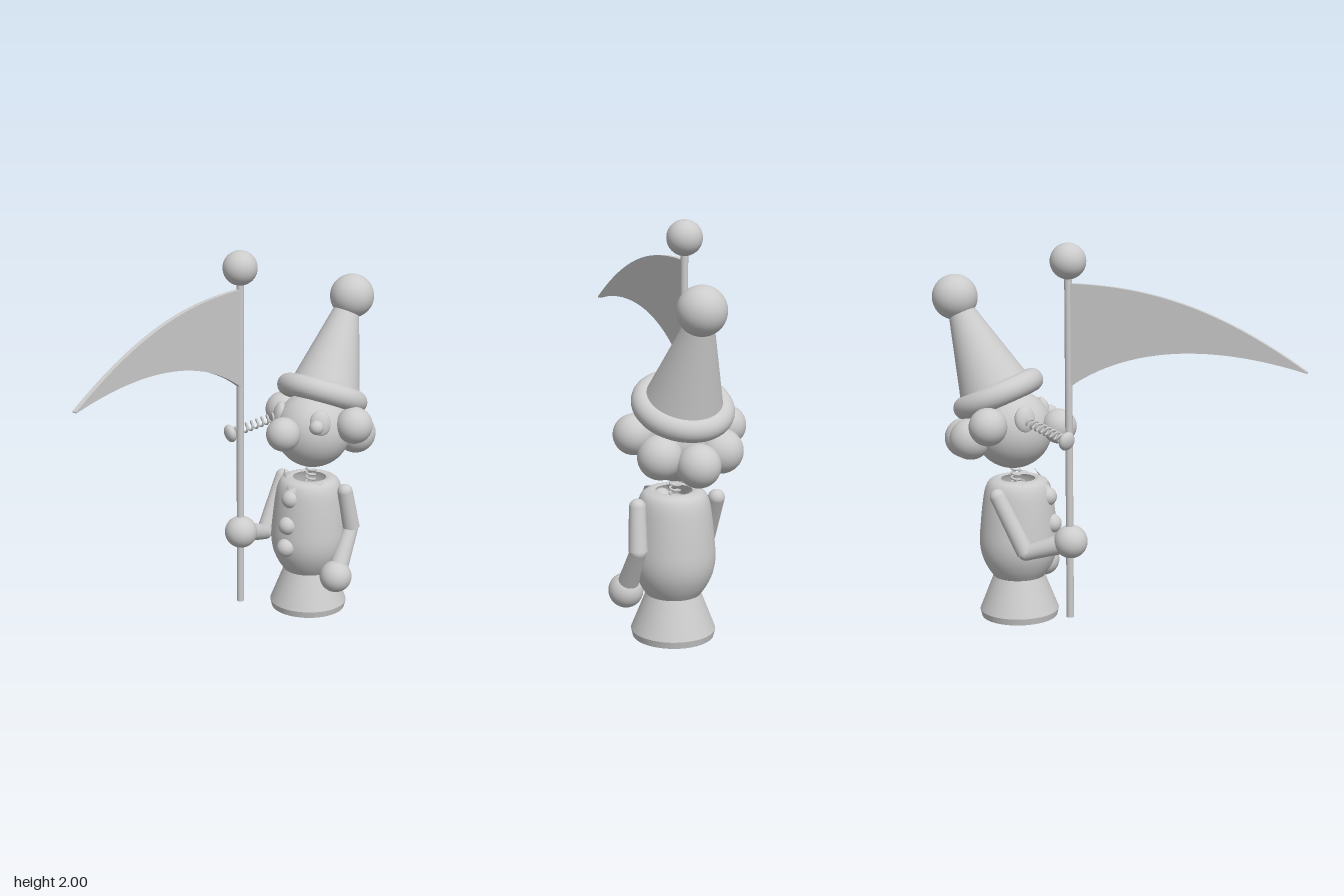
import * as THREE from 'three';

const V = (x, y, z) => new THREE.Vector3(x, y, z);
const UP = V(0, 1, 0);

export function createModel() {
  const model = new THREE.Group();
  const mat = new THREE.MeshStandardMaterial({ color: 0xcccccc });
  const thin = new THREE.MeshStandardMaterial({ color: 0xcccccc, side: THREE.DoubleSide });

  const add = (name, geo, pos, parent = model, m = mat) => {
    const mesh = new THREE.Mesh(geo, m);
    mesh.name = name;
    if (pos) mesh.position.copy(pos);
    parent.add(mesh);
    return mesh;
  };
  const ball = (name, r, pos, parent) => add(name, new THREE.SphereGeometry(r, 40, 28), pos, parent);
  // Cylinder running from a to b
  const rod = (name, a, b, ra, rb) => {
    const mesh = add(name, new THREE.CylinderGeometry(rb, ra, a.distanceTo(b), 32), a.clone().lerp(b, 0.5));
    mesh.quaternion.setFromUnitVectors(UP, b.clone().sub(a).normalize());
    return mesh;
  };
  // Coil of wire running from a to b
  const spring = (name, a, b, r, wire, turns) => {
    const len = a.distanceTo(b), pts = [];
    for (let i = 0; i <= turns * 12; i++) {
      const t = (i / 12) * Math.PI * 2;
      pts.push(V(r * Math.cos(t), (len * i) / (turns * 12), r * Math.sin(t)));
    }
    const geo = new THREE.TubeGeometry(new THREE.CatmullRomCurve3(pts), turns * 20, wire, 8);
    const mesh = add(name, geo, a);
    mesh.quaternion.setFromUnitVectors(UP, b.clone().sub(a).normalize());
  };
  const lathe = (name, profile, pos) =>
    add(name, new THREE.LatheGeometry(profile.map(p => new THREE.Vector2(...p)), 56), pos, model, thin);

  // Flared foot
  const axis = V(0, 0, -0.546);
  add('baseRim', new THREE.CylinderGeometry(0.208, 0.2, 0.035, 56), V(0, 0.0175, -0.546));
  add('base', new THREE.CylinderGeometry(0.135, 0.208, 0.185, 56), V(0, 0.1275, -0.546));

  // Rounded torso, open at the neck
  const torso = new THREE.SplineCurve([
    [0.135, 0.22], [0.168, 0.27], [0.195, 0.335], [0.205, 0.41], [0.198, 0.51],
    [0.187, 0.61], [0.174, 0.685], [0.152, 0.73], [0.115, 0.746], [0.09, 0.742],
  ].map(p => new THREE.Vector2(...p))).getPoints(36).map(p => [p.x, p.y]);
  lathe('torso', torso, axis);
  [[0.655, -0.385], [0.512, -0.36], [0.39, -0.345]].forEach(([y, z]) => ball('button', 0.05, V(0, y, z)));
  spring('neckSpring', V(0, 0.6, -0.557), V(0, 0.83, -0.557), 0.024, 0.006, 9);

  // Bow tie: one flat triangular wing on each side
  for (const s of [-1, 1]) {
    const geo = new THREE.BufferGeometry();
    geo.setAttribute('position', new THREE.Float32BufferAttribute(
      [0, 0.715, -0.365, s * 0.125, 0.66, -0.415, s * 0.138, 0.765, -0.505], 3));
    geo.computeVertexNormals();
    add('bowTieWing', geo, null, model, thin);
  }

  // Head and nose
  const headPos = V(0, 1.005, -0.57);
  ball('head', 0.205, headPos);
  ball('nose', 0.09, V(0, 1.034, -0.316));

  // Flattened eyes facing outwards
  for (const s of [-1, 1]) {
    const eye = ball('eye', 0.07, V(s * 0.135, 1.085, -0.455));
    eye.scale.set(0.8, 1, 0.5);
    eye.lookAt(V(s * 0.6, 1.2, 0.05));
  }
  ball('leftPupil', 0.038, V(0.142, 1.075, -0.415));

  // Right pupil popped out on a spring
  const eyeStart = V(-0.14, 1.08, -0.44), eyeEnd = V(-0.257, 1.018, -0.19);
  spring('eyeSpring', eyeStart, eyeEnd, 0.022, 0.006, 9);
  const pupil = ball('rightPupil', 0.048, eyeEnd);
  pupil.scale.z = 0.6;
  pupil.lookAt(eyeEnd.clone().multiplyScalar(2).sub(eyeStart));

  // Ring of hair puffs
  for (const s of [-1, 1]) {
    ball('hairSide', 0.098, V(s * 0.238, 1.06, -0.616));
    ball('hairMid', 0.108, V(s * 0.155, 0.973, -0.745));
  }
  ball('hairBack', 0.105, V(0, 0.94, -0.84));

  // Leaning cone hat with rolled brim and pompon
  const hat = new THREE.Group();
  hat.name = 'hat';
  hat.position.set(0, 1.185, -0.648);
  hat.rotation.x = -0.42;
  model.add(hat);
  add('brim', new THREE.TorusGeometry(0.188, 0.06, 24, 56).rotateX(Math.PI / 2), null, hat);
  add('hatCone', new THREE.CylinderGeometry(0.06, 0.198, 0.5, 48), V(0.005, 0.25, -0.01), hat);
  ball('pompon', 0.118, V(0.012, 0.548, -0.014), hat);

  // Arms: shoulder, elbow, hand
  const arm = (side, shoulder, elbow, hand) => {
    ball(side + 'Shoulder', 0.041, shoulder);
    rod(side + 'UpperArm', shoulder, elbow, 0.041, 0.047);
    ball(side + 'Elbow', 0.04, elbow);
    rod(side + 'Forearm', elbow, elbow.clone().lerp(hand, 0.8), 0.04, 0.052);
    ball(side + 'Hand', 0.086, hand);
  };
  arm('left', V(0.207, 0.69, -0.59), V(0.22, 0.48, -0.632), V(0.228, 0.24, -0.49));
  arm('right', V(-0.21, 0.69, -0.58), V(-0.213, 0.405, -0.43), V(-0.188, 0.48, -0.195));

  // Flag pole with finial
  rod('flagPole', V(-0.195, 0.08, -0.198), V(-0.195, 1.86, -0.198), 0.019, 0.019);
  ball('poleFinial', 0.09, V(-0.195, 1.91, -0.198));

  // Curved pennant, drawn in the z-y plane
  const pennant = new THREE.Shape();
  pennant.moveTo(-0.195, 1.8);
  pennant.bezierCurveTo(0.2, 1.8, 0.55, 1.72, 1, 1.42);
  pennant.lineTo(1, 1.413);
  pennant.bezierCurveTo(0.6, 1.52, 0.15, 1.53, -0.195, 1.28);
  const flagGeo = new THREE.ExtrudeGeometry(pennant, { depth: 0.026, bevelEnabled: false, curveSegments: 28 });
  flagGeo.translate(0, 0, -0.013).rotateY(-Math.PI / 2);
  add('pennant', flagGeo, V(-0.194, 0, 0), model, thin);

  return model;
}
